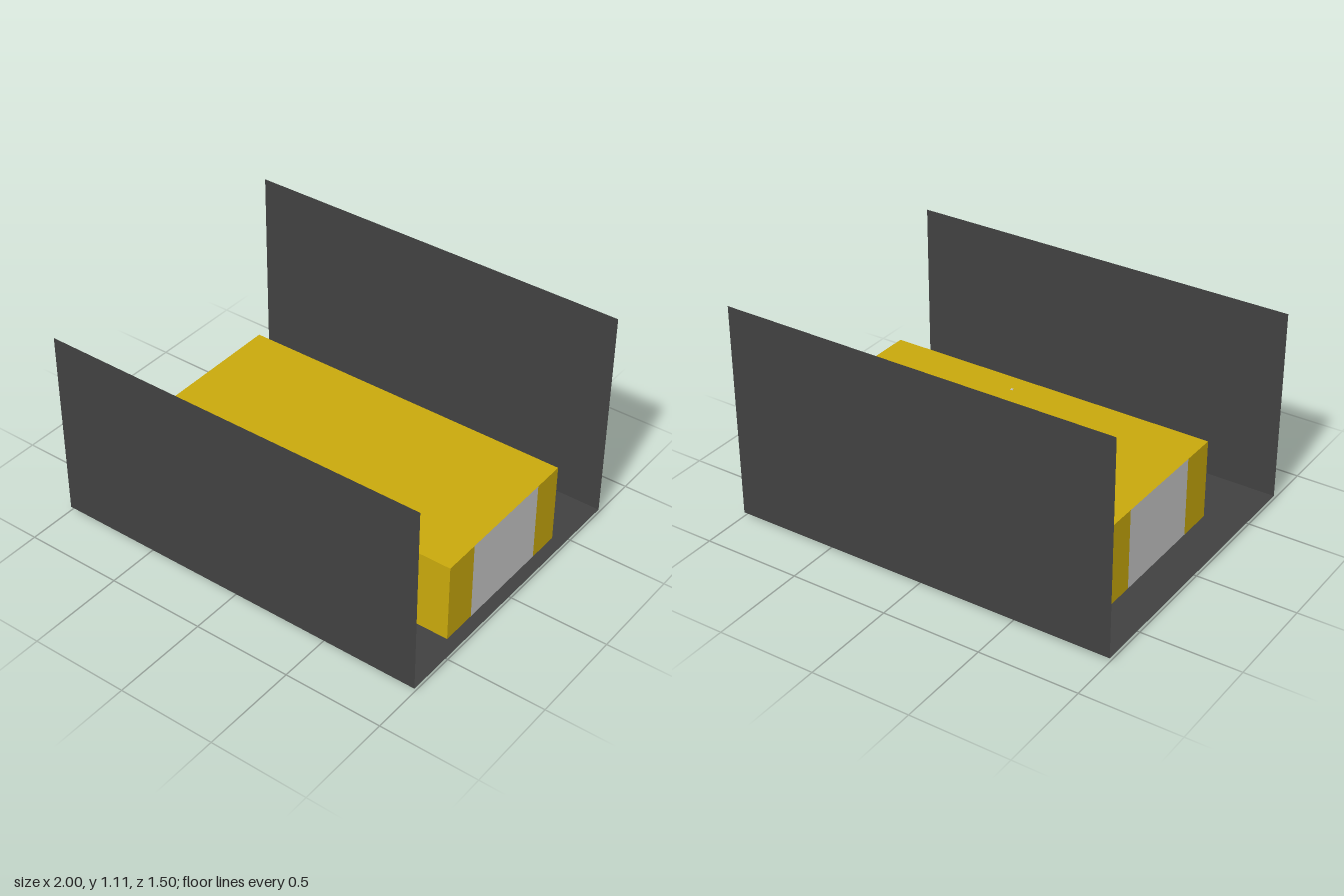
import * as THREE from 'three';

const material = (name, color) => {
  const m = new THREE.MeshStandardMaterial({ color, side: THREE.DoubleSide });
  m.name = name;
  return m;
};

// Flat four-cornered sheet, corners counter-clockwise seen from outside
function sheet(name, mat, corners) {
  const g = new THREE.BufferGeometry();
  g.setAttribute('position', new THREE.Float32BufferAttribute(corners.flat(), 3));
  g.setIndex([0, 1, 2, 0, 2, 3]);
  g.computeVertexNormals();
  const mesh = new THREE.Mesh(g, mat);
  mesh.name = name;
  return mesh;
}

export function createModel() {
  const yellow = material('yellow', 0xc8a80c);
  const grey = material('light grey', 0xc8c8c8);
  const dark = material('dark grey', 0x404040);

  const model = new THREE.Group();
  model.name = 'boxInTray';

  // Tray: floor with a lower front wall and a taller back wall
  const tray = new THREE.Group();
  tray.name = 'tray';
  const W = 1, D = 0.75, Y = 0.02;
  tray.add(
    sheet('floor', dark, [[-W, Y, D], [W, Y, D], [W, Y, -D], [-W, Y, -D]]),
    sheet('frontWall', dark, [[-W, Y, D], [W, Y, D], [W, 0.995, D], [-W, 0.995, D]]),
    sheet('backWall', dark, [[W, Y, -D], [-W, Y, -D], [-W, 1.11, -D], [W, 1.11, -D]]),
  );

  // Open-bottomed box whose roof rises slightly to the back
  const box = new THREE.Group();
  box.name = 'box';
  const x0 = -0.807, x1 = 0.936, z0 = -0.442, z1 = 0.414;
  const top = (z) => 0.43 + 0.007 * (z1 - z) / (z1 - z0);
  const wall = (name, mat, [ax, az], [bx, bz]) => box.add(sheet(name, mat,
    [[ax, 0, az], [bx, 0, bz], [bx, top(bz), bz], [ax, top(az), az]]));

  box.add(sheet('roof', yellow,
    [[x0, top(z1), z1], [x1, top(z1), z1], [x1, top(z0), z0], [x0, top(z0), z0]]));
  wall('back', yellow, [x1, z0], [x0, z0]);

  // Front with two dark upright panels
  const xs = [x0, -0.66, -0.5, 0.495, 0.655, x1];
  for (let i = 0; i < 5; i++) {
    const panel = i % 2 === 1;
    wall(panel ? 'frontPanel' : 'front', panel ? dark : yellow, [xs[i], z1], [xs[i + 1], z1]);
  }

  // Both ends with a grey centre panel
  const zs = [z0, -0.277, 0.23, z1];
  for (let i = 0; i < 3; i++) {
    const name = i === 1 ? 'endPanel' : 'end';
    const mat = i === 1 ? grey : yellow;
    wall(name, mat, [x1, zs[i + 1]], [x1, zs[i]]);
    wall(name, mat, [x0, zs[i]], [x0, zs[i + 1]]);
  }

  // Tiny stud on the roof
  const stud = new THREE.Mesh(new THREE.BoxGeometry(0.012, 0.002, 0.012), grey);
  stud.name = 'roofStud';
  stud.position.set(0.2, top(0.31) + 0.001, 0.31);
  box.add(stud);

  model.add(tray, box);
  return model;
}
